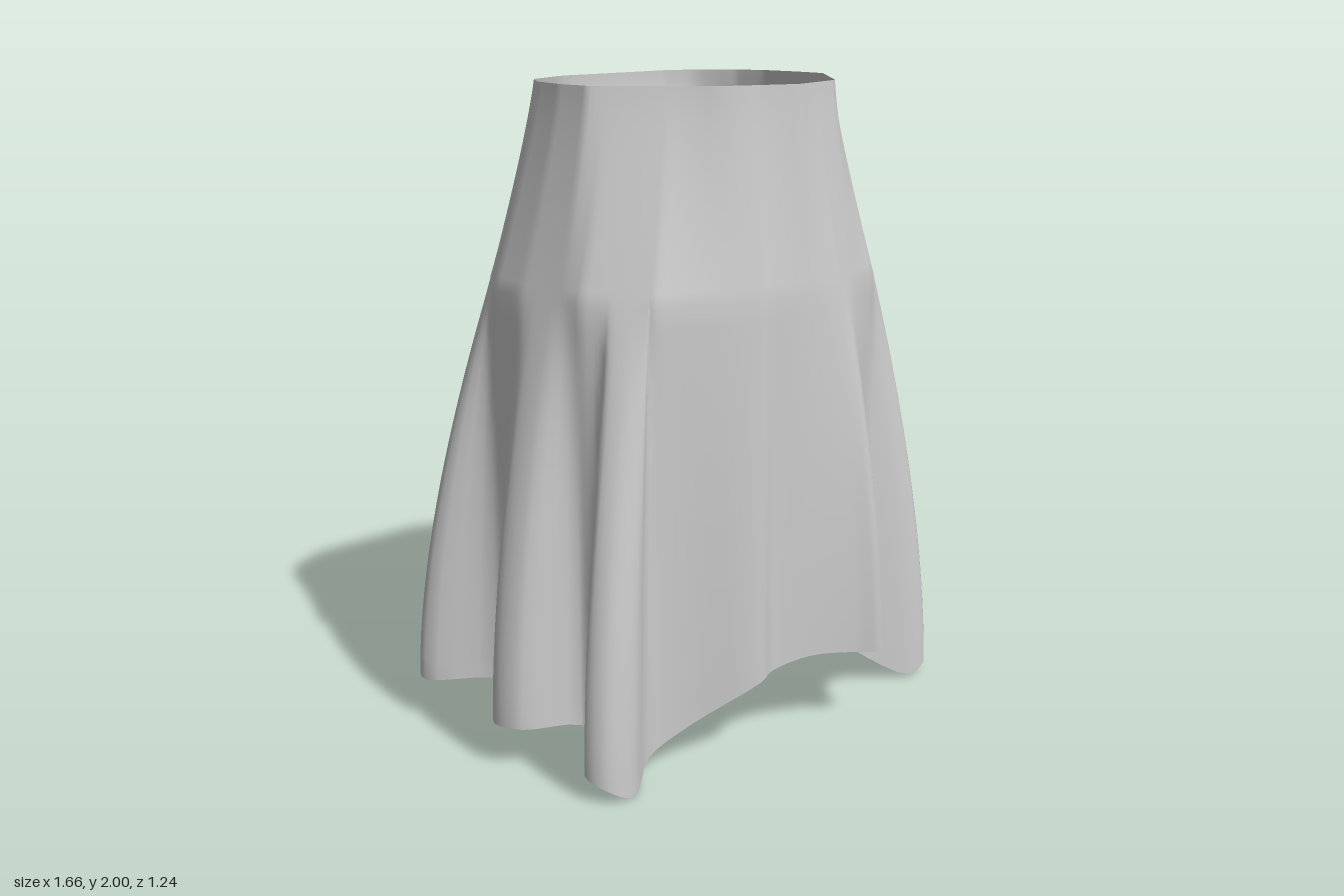
import * as THREE from 'three';

// Closed outlines as [x, z], running from the left side (+x) round through the front (+z)
const WAIST = [[0.45, 0], [0.44, 0.12], [0.2, 0.37], [-0.02, 0.42], [-0.23, 0.335], [-0.5, 0.05],
  [-0.5, -0.07], [-0.47, -0.2], [-0.4, -0.3], [-0.23, -0.37], [0.2, -0.36], [0.3, -0.32], [0.4, -0.22], [0.44, -0.13]];
const HIP = [[0.63, 0], [0.6, 0.2], [0.37, 0.4], [0.1, 0.485], [-0.2, 0.45], [-0.5, 0.32], [-0.62, 0.14],
  [-0.64, -0.1], [-0.62, -0.25], [-0.5, -0.41], [-0.2, -0.49], [0.22, -0.48], [0.52, -0.37], [0.61, -0.23]];

// Hem with its folds as [x, z, y]
const HEM = [
  [0.82, -0.04, 0.14], [0.82, 0.05, 0.14], [0.63, 0.14, 0.12], [0.6, 0.24, 0.06],
  [0.65, 0.44, 0.04], [0.56, 0.45, 0.01], [0.36, 0.385, 0.13], [0.25, 0.5, 0.2],
  [0.19, 0.615, 0.25], [0.12, 0.57, 0.26], [-0.02, 0.5, 0.27], [-0.15, 0.46, 0.25],
  [-0.23, 0.48, 0.24], [-0.42, 0.37, 0.13], [-0.55, 0.33, 0.06], [-0.68, 0.4, 0.005],
  [-0.77, 0.38, 0.05], [-0.79, 0.31, 0.08], [-0.64, 0.2, 0.1], [-0.63, 0.12, 0.12],
  [-0.8, 0.05, 0.14], [-0.83, -0.04, 0.14], [-0.79, -0.09, 0.14], [-0.64, -0.16, 0.15],
  [-0.63, -0.28, 0.15], [-0.78, -0.45, 0.14], [-0.71, -0.54, 0.14], [-0.54, -0.42, 0.14],
  [-0.42, -0.44, 0.14], [-0.25, -0.52, 0.13], [-0.14, -0.6, 0.105], [-0.05, -0.62, 0.105],
  [0.05, -0.58, 0.105], [0.22, -0.51, 0.12], [0.32, -0.58, 0.11], [0.4, -0.57, 0.11],
  [0.47, -0.42, 0.15], [0.53, -0.38, 0.17], [0.69, -0.48, 0.2], [0.77, -0.43, 0.2],
  [0.62, -0.27, 0.18], [0.62, -0.17, 0.16],
];

const TAU = Math.PI * 2;
const angleOf = (x, z) => (Math.atan2(z / 0.5, x / 0.65) + TAU) % TAU;
const lerp = THREE.MathUtils.lerp;

// Point of a closed outline at a given angle
function outlineAt(outline, angle) {
  for (let i = 0; i < outline.length; i++) {
    const p = outline[i], q = outline[(i + 1) % outline.length];
    const a = angleOf(...p), b = angleOf(...q) || TAU;
    if (angle >= a && angle <= b) {
      const f = (angle - a) / (b - a);
      return [lerp(p[0], q[0], f), lerp(p[1], q[1], f)];
    }
  }
  return outline[0];
}

function skirtGeometry(columns, upperRows, lowerRows) {
  const hemCurve = new THREE.CatmullRomCurve3(HEM.map(([x, z, y]) => new THREE.Vector3(x, y, z)), true, 'centripetal');
  const rows = upperRows + lowerRows, hipY = 1.4, positions = [], index = [];
  for (let i = 0; i < columns; i++) {
    const hem = hemCurve.getPoint(i / columns);
    const angle = angleOf(hem.x, hem.z);
    const waist = outlineAt(WAIST, angle), hip = outlineAt(HIP, angle);
    for (let j = 0; j <= rows; j++) {
      if (j <= upperRows) {
        // Fitted part, with a tuck pressed in across the back
        const t = j / upperRows, k = t ** 1.15, y = lerp(2, hipY, t);
        const x = lerp(waist[0], hip[0], k);
        let z = lerp(waist[1], hip[1], k);
        const across = Math.exp(-(((x - 0.05) / 0.28) ** 4));
        const height = Math.exp(-(((y - 1.8) / (y < 1.8 ? 0.08 : 0.11)) ** 2));
        if (z < 0) z += 0.07 * across * height;
        positions.push(x, y, z);
      } else {
        // Folds open out from the hip to the hem
        const t = (j - upperRows) / lowerRows, e = 1 - (1 - t) ** 1.6;
        positions.push(lerp(hip[0], hem.x, e), lerp(hipY, hem.y, t), lerp(hip[1], hem.z, e));
      }
    }
  }
  for (let i = 0; i < columns; i++) {
    for (let j = 0; j < rows; j++) {
      const a = i * (rows + 1) + j, b = ((i + 1) % columns) * (rows + 1) + j;
      index.push(a, b, a + 1, b, b + 1, a + 1);
    }
  }
  const geometry = new THREE.BufferGeometry();
  geometry.setAttribute('position', new THREE.Float32BufferAttribute(positions, 3));
  geometry.setIndex(index);
  geometry.computeVertexNormals();
  return geometry;
}

export function createModel() {
  const group = new THREE.Group();
  group.name = 'skirt';
  const cloth = new THREE.MeshStandardMaterial({ color: 0xcccccc, side: THREE.DoubleSide });
  const skirt = new THREE.Mesh(skirtGeometry(HEM.length * 4, 16, 18), cloth);
  skirt.name = 'skirtCloth';
  group.add(skirt);
  return group;
}
